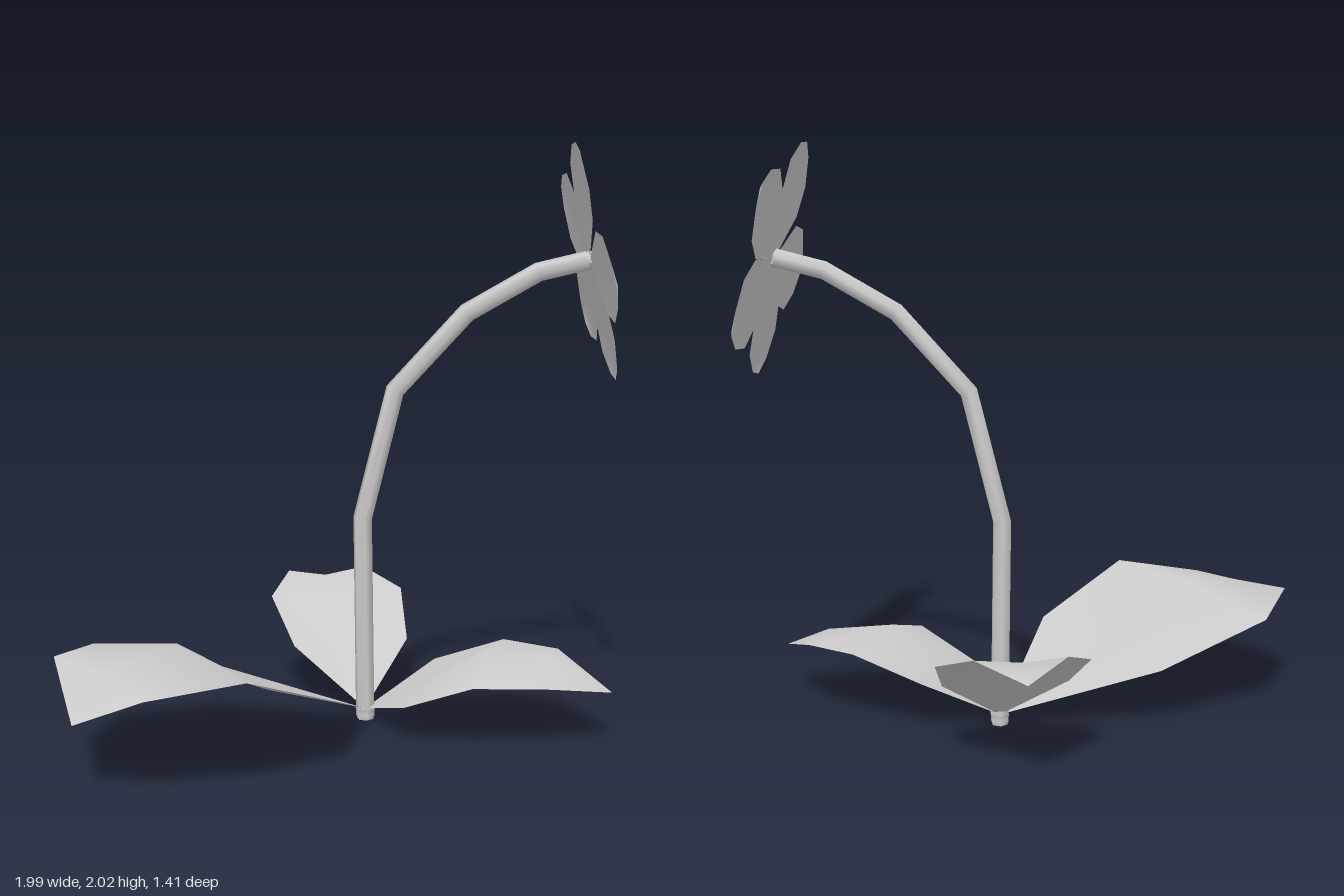
import * as THREE from 'three';

const mat = new THREE.MeshStandardMaterial({ color: 0xcccccc, side: THREE.DoubleSide });

// Blade from a base point, rows of [right, middle, left] points, and a tip point
function blade(name, base, rows, tip) {
  const points = [base, ...rows.flat(), tip];
  const index = [];
  const last = points.length - 1;
  for (let side = 0; side < 2; side++) {
    index.push(0, 1 + side, 2 + side);
    for (let r = 0; r < rows.length - 1; r++) {
      const a = 1 + r * 3 + side, b = a + 3;
      index.push(a, b, b + 1, a, b + 1, a + 1);
    }
    const e = last - 3 + side;
    index.push(e, last, e + 1);
  }
  const geo = new THREE.BufferGeometry();
  geo.setAttribute('position', new THREE.Float32BufferAttribute(points.flat(), 3));
  geo.setIndex(index);
  geo.computeVertexNormals();
  const mesh = new THREE.Mesh(geo, mat);
  mesh.name = name;
  return mesh;
}

export function createModel() {
  const group = new THREE.Group();
  const root = [0.11, 0.035, -0.045];

  // Stem: one ring per path point keeps its bends angular
  const path = [
    [0.11, 0.01, -0.04], [0.1, 0.73, -0.045], [0.21, 1.18, -0.025],
    [0.45, 1.45, 0.035], [0.69, 1.59, 0.09], [0.85, 1.63, 0.14],
  ].map((p) => new THREE.Vector3(...p));
  const curve = new THREE.CatmullRomCurve3(path);
  curve.getPointAt = curve.getPoint;
  curve.getTangentAt = curve.getTangent;
  const stem = new THREE.Mesh(new THREE.TubeGeometry(curve, path.length - 1, 0.034, 6), mat);
  stem.name = 'stem';
  group.add(stem);

  // Root stub closing the foot of the stem
  const stub = new THREE.Mesh(new THREE.CylinderGeometry(0.036, 0.03, 0.04, 6), mat);
  stub.name = 'rootStub';
  stub.position.set(0.11, 0.02, -0.04);
  group.add(stub);

  // Three drooping leaves
  group.add(blade('largeLeaf', root, [
    [[-0.44, 0.21, -0.17], [-0.28, 0.19, 0.15], [-0.12, 0.235, 0.47]],
    [[-0.85, 0.34, -0.04], [-0.61, 0.415, 0.3], [-0.46, 0.39, 0.7]],
    [[-1, 0.38, 0.23], [-0.86, 0.37, 0.42], [-0.77, 0.345, 0.67]],
  ], [-0.97, 0.24, 0.52]));
  group.add(blade('backLeaf', root, [
    [[0.33, 0.22, -0.26], [0.11, 0.19, -0.25], [-0.1, 0.22, -0.26]],
    [[0.37, 0.36, -0.48], [0.11, 0.34, -0.45], [-0.14, 0.36, -0.47]],
    [[0.26, 0.42, -0.62], [0.1, 0.4, -0.6], [-0.04, 0.42, -0.62]],
  ], [0.1, 0.36, -0.71]));
  group.add(blade('rightLeaf', root, [
    [[0.16, 0.13, 0.27], [0.29, 0.17, 0.1], [0.39, 0.18, -0.11]],
    [[0.35, 0.23, 0.43], [0.47, 0.3, 0.22], [0.62, 0.265, -0.01]],
    [[0.6, 0.22, 0.465], [0.7, 0.27, 0.3], [0.77, 0.26, 0.14]],
  ], [0.85, 0.18, 0.43]));

  // Flower: five petals fanned over a tilted plane
  const flower = new THREE.Group();
  flower.name = 'flower';
  flower.position.set(0.855, 1.63, 0.145);
  [19, -52, -125, 168, 101].forEach((deg) => {
    const s = Math.sin(deg * Math.PI / 180), c = Math.cos(deg * Math.PI / 180);
    const at = (along, w, lift = 0) => {
      const y = along * c + w * s, z = along * s - w * c;
      return [-0.22 * y - 0.24 * z + lift, y, z];
    };
    const row = (along, w) => [at(along, w), at(along, 0, 0.012), at(along, -w)];
    flower.add(blade('petal', at(0, 0), [row(0.19, 0.14), row(0.3, 0.145), row(0.385, 0.075)], at(0.415, 0)));
  });

  // Flower centre
  const centre = new THREE.Mesh(new THREE.IcosahedronGeometry(0.038, 0), mat);
  centre.name = 'flowerCentre';
  centre.position.x = 0.012;
  flower.add(centre);
  group.add(flower);
  return group;
}
